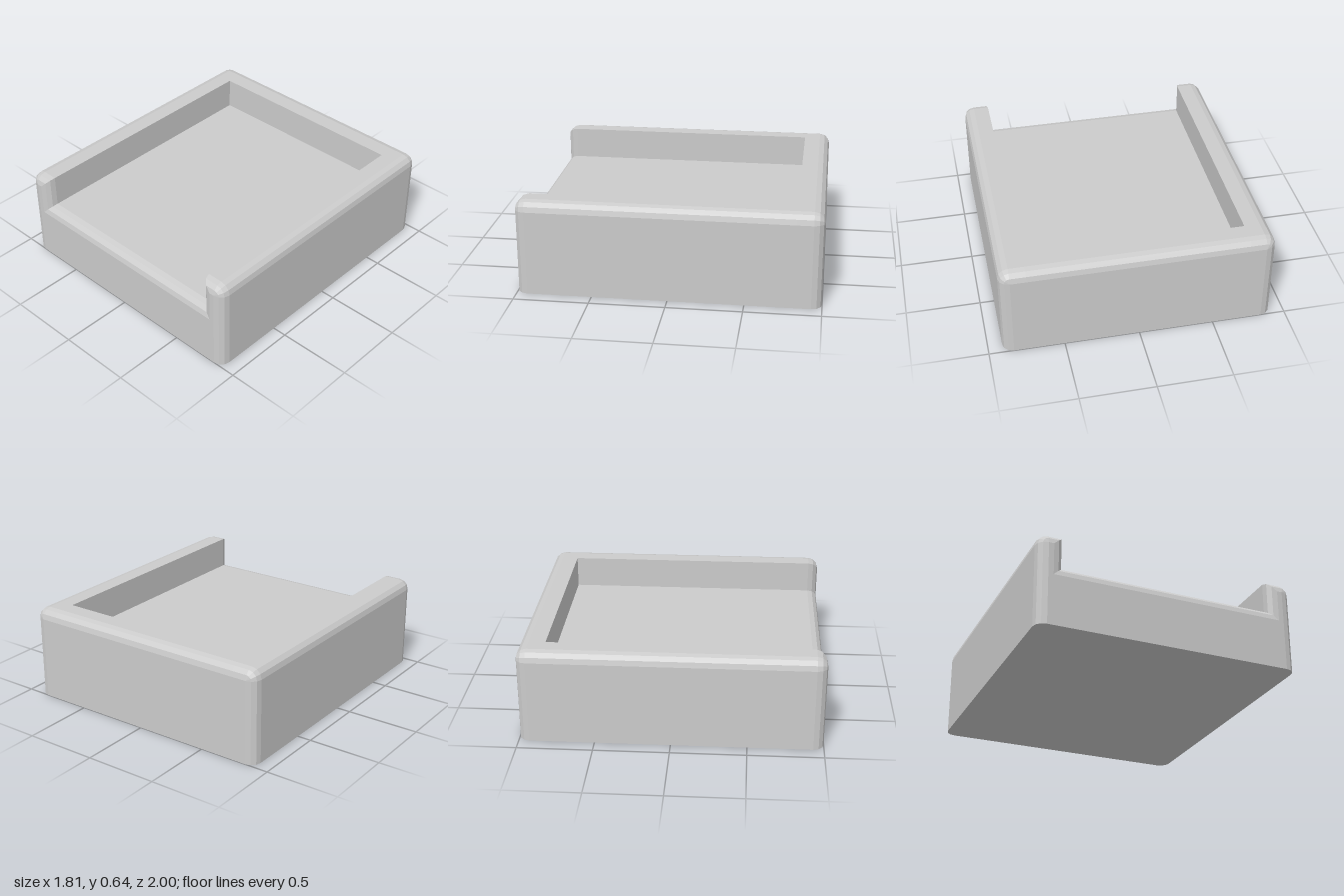
import * as THREE from 'three';

const HALF_W = 0.905, HEIGHT = 0.64, FLOOR = 0.42, INNER_W = 0.73, INNER_BACK = -0.82;
const BEVEL = 0.07, STEPS = 3;

// Cross-section seen from the front, inset by d; the recess is closed behind the back wall.
function section(z, d, closed) {
  const r = BEVEL - d, top = HEIGHT - d;
  const innerX = closed ? INNER_W : INNER_W + d;
  const floorY = closed ? top : FLOOR - d;
  const right = [];
  for (let i = 0; i <= STEPS; i++) {
    const a = (i / STEPS) * Math.PI / 2;
    right.push([HALF_W - BEVEL + r * Math.cos(a), HEIGHT - BEVEL + r * Math.sin(a)]);
  }
  right.unshift([HALF_W - d, 0]);
  right.push([innerX, top], [innerX, floorY]);
  const left = right.map(([x, y]) => [-x, y]).reverse();
  return [...right, ...left].map(([x, y]) => new THREE.Vector3(x, y, z));
}

// Flat-shaded skin over the sections, ordered front to back, with both ends capped.
function loft(sections) {
  const points = [];
  const tri = (a, b, c) => {
    if (new THREE.Triangle(a, b, c).getArea() > 1e-8) points.push(a, b, c);
  };
  for (let s = 0; s < sections.length - 1; s++) {
    const f = sections[s], b = sections[s + 1], n = f.length;
    for (let i = 0; i < n; i++) {
      const j = (i + 1) % n;
      tri(f[i], b[i], f[j]);
      tri(f[j], b[i], b[j]);
    }
  }
  const cap = (loop, front) => {
    const flat = loop.map(p => new THREE.Vector2(p.x, p.y));
    for (const [a, b, c] of THREE.ShapeUtils.triangulateShape(flat, [])) {
      if (front) tri(loop[a], loop[b], loop[c]);
      else tri(loop[a], loop[c], loop[b]);
    }
  };
  cap(sections[0], true);
  cap(sections[sections.length - 1], false);
  const geometry = new THREE.BufferGeometry().setFromPoints(points);
  geometry.computeVertexNormals();
  return geometry;
}

export function createModel() {
  const group = new THREE.Group();
  group.name = 'openFrontTray';

  // Rounded front, straight arms, then the back wall with its rounded rear edge
  const front = [], back = [];
  for (let i = 0; i <= STEPS; i++) {
    const a = (i / STEPS) * Math.PI / 2;
    const z = 1 - BEVEL + BEVEL * Math.sin(a), d = BEVEL * (1 - Math.cos(a));
    front.unshift(section(z, d, false));
    back.push(section(-z, d, true));
  }
  const innerWall = [section(INNER_BACK, 0, false), section(INNER_BACK, 0, true)];

  const body = new THREE.Mesh(
    loft([...front, ...innerWall, ...back]),
    new THREE.MeshStandardMaterial({ color: 0xcccccc, flatShading: true })
  );
  body.name = 'trayBody';
  group.add(body);
  return group;
}
